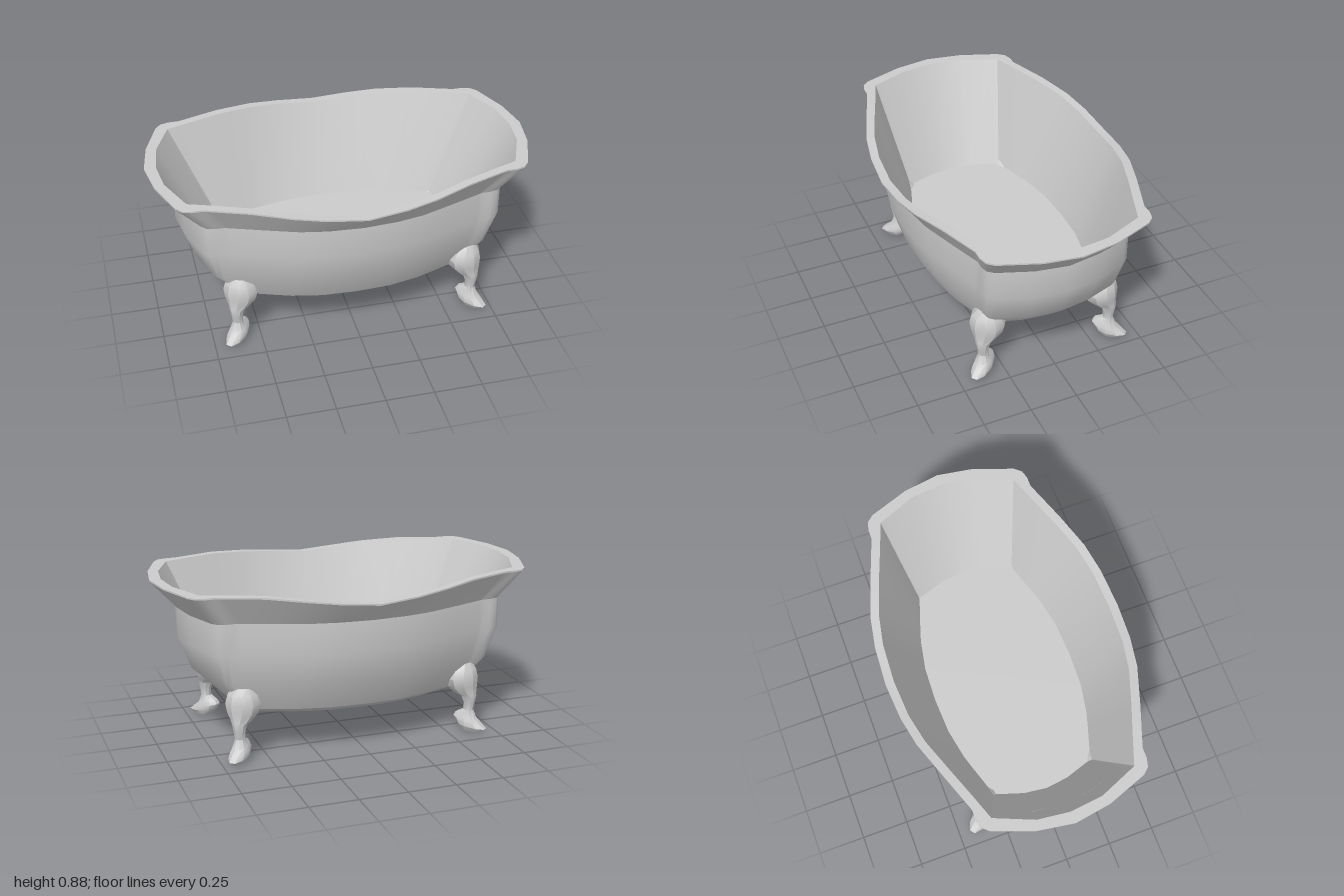
import * as THREE from 'three';
import { toCreasedNormals } from 'three/addons/utils/BufferGeometryUtils.js';

// Quarter outlines as [x, z], from the end (+x) round to the side (+z)
const RIM = [[1, 0], [0.97, 0.19], [0.895, 0.395], [0.865, 0.43], [0.82, 0.442], [0.77, 0.442],
  [0.74, 0.452], [0.55, 0.52], [0.36, 0.585], [0.2, 0.615], [0, 0.628]];
const INNER_RIM = [[0.94, 0], [0.92, 0.17], [0.845, 0.35], [0.84, 0.362], [0.835, 0.37], [0.77, 0.393],
  [0.7, 0.418], [0.54, 0.477], [0.36, 0.54], [0.2, 0.572], [0, 0.583]];
const FLOOR = [[0.665, 0], [0.65, 0.12], [0.608, 0.25], [0.604, 0.262], [0.6, 0.275], [0.555, 0.288],
  [0.51, 0.302], [0.43, 0.328], [0.35, 0.352], [0.19, 0.382], [0, 0.39]];

// Height of the wavy rim: high at the ends, dipping mid-side
function rimHeight(x) {
  const t = Math.min(Math.abs(x) / 0.58, 1);
  return 0.83 + 0.055 * (0.6 * t + 0.4 * t * t * (3 - 2 * t));
}

// Mirrors a quarter outline into a closed ring
function ring(quarter, height) {
  const half = [...quarter, ...quarter.slice(0, -1).reverse().map(([x, z]) => [-x, z])];
  const full = [...half, ...half.slice(1, -1).reverse().map(([x, z]) => [x, -z])];
  return full.map(([x, z]) => new THREE.Vector3(x, height(x), z));
}

// Body outline between the rim shape (k = 0) and the floor shape (k = 1)
function bodyRing(y, halfX, halfZ, k) {
  return ring(RIM.map(([x, z], i) => [
    THREE.MathUtils.lerp(x, FLOOR[i][0] / 0.665, k) * halfX,
    THREE.MathUtils.lerp(z / 0.628, FLOOR[i][1] / 0.39, k) * halfZ,
  ]), () => y);
}

// Skins a stack of closed rings, with optional end caps
function loft(name, rings, material, crease, capStart = false, capEnd = false) {
  const pos = [];
  const n = rings[0].length;
  const tri = (...pts) => pts.forEach((p) => pos.push(p.x, p.y, p.z));
  for (let i = 0; i < rings.length - 1; i++) {
    for (let j = 0; j < n; j++) {
      const k = (j + 1) % n;
      const [a, b, c, d] = [rings[i][j], rings[i][k], rings[i + 1][j], rings[i + 1][k]];
      tri(a, c, b);
      tri(b, c, d);
    }
  }
  const cap = (r, flip) => {
    const centre = r.reduce((s, p) => s.add(p), new THREE.Vector3()).divideScalar(n);
    r.forEach((p, j) => (flip ? tri(centre, r[(j + 1) % n], p) : tri(centre, p, r[(j + 1) % n])));
  };
  if (capStart) cap(rings[0], false);
  if (capEnd) cap(rings[rings.length - 1], true);
  const geometry = new THREE.BufferGeometry();
  geometry.setAttribute('position', new THREE.Float32BufferAttribute(pos, 3));
  const mesh = new THREE.Mesh(toCreasedNormals(geometry, crease), material);
  mesh.name = name;
  return mesh;
}

// Claw leg facing +z: [y, centre offset, reach forward, reach back, half width, forward tilt]
const LEG = [
  [0.008, 0.055, 0.075, 0.035, 0.034, 0.006], [0.035, 0.052, 0.104, 0.068, 0.048, 0.012],
  [0.06, 0.048, 0.086, 0.082, 0.048, 0.018], [0.085, 0.046, 0.05, 0.068, 0.04, 0.012],
  [0.12, 0.052, 0.024, 0.03, 0.026, 0], [0.16, 0.056, 0.028, 0.034, 0.03, 0],
  [0.2, 0.05, 0.04, 0.046, 0.04, 0], [0.215, 0.022, 0.066, 0.06, 0.055, 0],
  [0.255, 0.004, 0.084, 0.086, 0.084, 0], [0.3, 0, 0.09, 0.09, 0.094, 0],
  [0.345, 0.004, 0.076, 0.036, 0.08, 0], [0.382, 0.018, 0.036, 0.012, 0.046, 0],
];

function createLeg(material) {
  const sides = 10;
  const rings = LEG.map(([y, f, front, back, width, tilt]) => Array.from({ length: sides }, (_, j) => {
    const a = (j / sides) * Math.PI * 2;
    const s = Math.sin(a);
    return new THREE.Vector3(Math.cos(a) * width, y - tilt * s, f + s * (s > 0 ? front : back));
  }));
  return loft('leg', rings, material, 0.5, true, true);
}

export function createModel() {
  const model = new THREE.Group();
  model.name = 'bathtub';
  const material = new THREE.MeshStandardMaterial({ color: 0xcccccc });

  // Outer shell: base band with underside, bellied body, flared collar
  const baseTop = bodyRing(0.25, 0.645, 0.425, 0.95);
  const collar = bodyRing(0.73, 0.865, 0.55, 0);
  model.add(loft('base', [bodyRing(0.21, 0.56, 0.355, 1), baseTop], material, 0.6, true));
  model.add(loft('body', [
    baseTop,
    bodyRing(0.4, 0.8, 0.505, 0.35),
    bodyRing(0.57, 0.865, 0.55, 0),
    collar,
  ], material, 0.9));
  const lip = ring(RIM, (x) => rimHeight(x) - 0.008);
  model.add(loft('flare', [collar, lip], material, 0.9));

  // Thin-edged flat rim, then sloping basin down to the raised floor
  const rimInner = ring(INNER_RIM, rimHeight);
  model.add(loft('rim', [lip, ring(RIM, rimHeight), rimInner], material, 0.6));
  model.add(loft('basin', [rimInner, ring(FLOOR, () => 0.335)], material, 0.3, false, true));

  // Four claw legs at the corners, toes pointing outward
  const legs = new THREE.Group();
  legs.name = 'legs';
  for (const sx of [1, -1]) {
    for (const sz of [1, -1]) {
      const leg = createLeg(material);
      leg.name = (sz > 0 ? 'front' : 'back') + (sx > 0 ? 'Left' : 'Right') + 'Leg';
      leg.position.set(sx * 0.6 + 0.013, 0, sz * 0.315);
      leg.rotation.y = Math.atan2(sx * 0.64, sz * 0.77);
      legs.add(leg);
    }
  }
  model.add(legs);
  return model;
}
